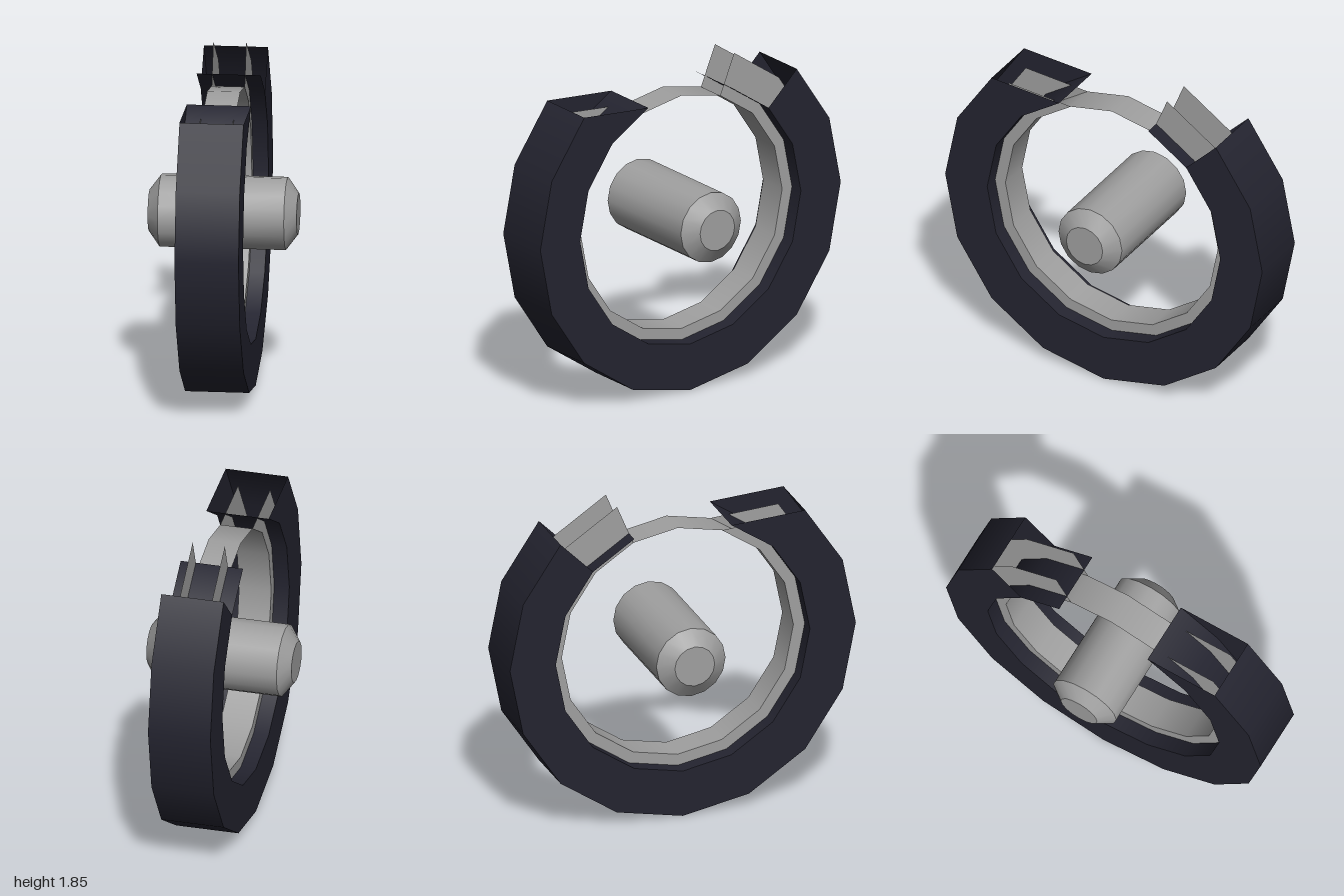
import * as THREE from 'three';
import { toCreasedNormals } from 'three/addons/utils/BufferGeometryUtils.js';

const STEP = Math.PI / 8; // the wheel has 16 sides, angles run from the front (+z) upwards

export function createModel() {
  const model = new THREE.Group();
  model.name = 'openWheel';

  const rubber = new THREE.MeshStandardMaterial({ color: 0x242430, side: THREE.DoubleSide });
  rubber.name = 'dark rubber';
  const metal = new THREE.MeshStandardMaterial({ color: 0xa0a0a0, side: THREE.DoubleSide });
  metal.name = 'grey metal';

  function add(name, geometry, material, parent) {
    const mesh = new THREE.Mesh(geometry, material);
    mesh.name = name;
    parent.add(mesh);
  }

  // curved strip around the x axis, from side i0 to side i1
  function band(r, width, i0, i1) {
    return new THREE.CylinderGeometry(r, r, width, i1 - i0, 1, true, i0 * STEP, (i1 - i0) * STEP)
      .rotateZ(Math.PI / 2)
      .translate(0, 1, 0);
  }

  // flat ring wall: the front end comes to a point, the back end is cut square
  function wall(inner, outer, back, x) {
    const at = (r, i) => new THREE.Vector2(r * Math.cos(i * STEP), 1 + r * Math.sin(i * STEP));
    const outline = [];
    for (let i = back; i <= 2; i++) outline.push(at(outer, i));
    for (let i = 3; i >= back; i--) outline.push(at(inner, i));
    return new THREE.ShapeGeometry(new THREE.Shape(outline)).rotateY(-Math.PI / 2).translate(x, 0, 0);
  }

  // hollow tyre, open at the top
  const tyre = new THREE.Group();
  tyre.name = 'tyre';
  add('tread', band(1, 0.35, -10, 2), rubber, tyre);
  add('tyreInnerFace', band(0.735, 0.35, -11, 3), rubber, tyre);

  // rim with a complete inner hoop and walls reaching into the tyre
  const rim = new THREE.Group();
  rim.name = 'rim';
  add('rimHoop', band(0.67, 0.18, 0, 16), metal, rim);

  for (const side of [-1, 1]) {
    const label = side > 0 ? 'left' : 'right';
    add(label + 'Sidewall', wall(0.735, 1, -10, side * 0.175), rubber, tyre);
    add(label + 'RimWall', wall(0.67, 0.915, -11, side * 0.09), metal, rim);
  }
  model.add(tyre, rim);

  // axle with chamfered ends
  const profile = [[0, -0.407], [0.115, -0.407], [0.2, -0.345], [0.2, 0.345], [0.115, 0.407], [0, 0.407]]
    .map(([r, h]) => new THREE.Vector2(r, h));
  const axle = toCreasedNormals(new THREE.LatheGeometry(profile, 16), 0.6);
  axle.rotateZ(Math.PI / 2).translate(0, 0.98, -0.015);
  add('axle', axle, metal, model);

  return model;
}
